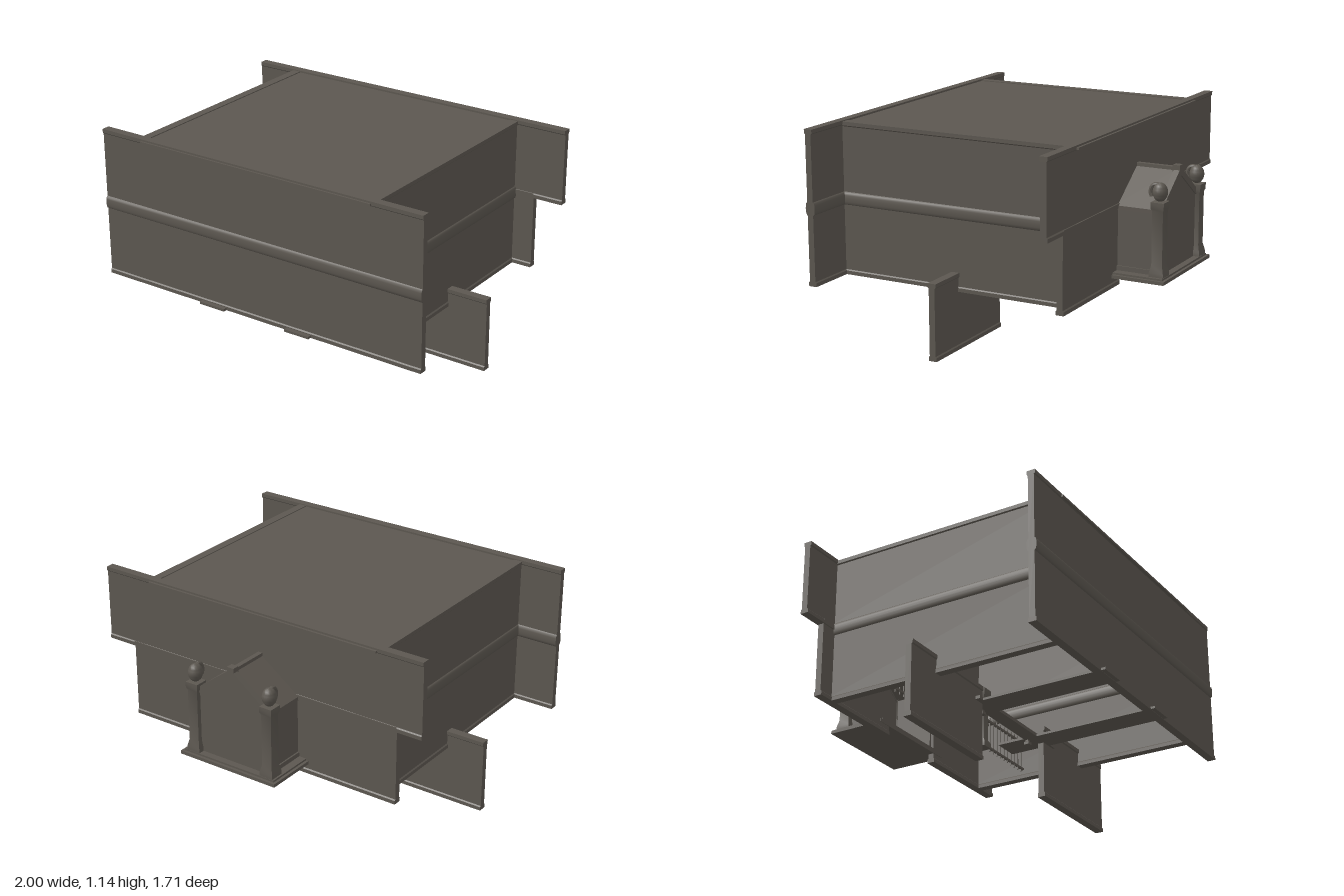
import * as THREE from 'three';
import { toCreasedNormals } from 'three/addons/utils/BufferGeometryUtils.js';

const stone = new THREE.MeshStandardMaterial({ color: 0x5c5750 });
stone.name = 'dark stone';

export function createModel() {
  const root = new THREE.Group();

  function add(name, geo, x = 0, y = 0, z = 0, parent = root) {
    const mesh = new THREE.Mesh(toCreasedNormals(geo, 0.6), stone);
    mesh.name = name;
    mesh.position.set(x, y, z);
    parent.add(mesh);
    return mesh;
  }
  // Box given by its limits on each axis
  function box(name, x0, x1, y0, y1, z0, z1, parent) {
    return add(name, new THREE.BoxGeometry(x1 - x0, y1 - y0, z1 - z0),
      (x0 + x1) / 2, (y0 + y1) / 2, (z0 + z1) / 2, parent);
  }
  // Moulded wall: cross-section with skirting, cornice and optional rounded band
  function wall(name, along, a0, a1, at, y0, y1, band) {
    const c = 0.017, f = 0.023, h = 0.026;
    const side = [[f, y0], [f, y0 + h - 0.006], [c, y0 + h]];
    if (band) {
      side.push([c, 0.69]);
      for (let i = 0; i <= 6; i++) {
        const t = (i / 6 - 0.5) * Math.PI;
        side.push([c + 0.003 + 0.008 * Math.cos(t), 0.725 + 0.033 * Math.sin(t)]);
      }
      side.push([c, 0.76]);
    }
    side.push([c, y1 - h], [f, y1 - h + 0.006], [f, y1]);
    const pts = side.concat(side.map(([t, y]) => [-t, y]).reverse());
    const shape = new THREE.Shape(pts.map(([t, y]) => new THREE.Vector2(t, y)));
    const geo = new THREE.ExtrudeGeometry(shape, { depth: a1 - a0, bevelEnabled: false });
    geo.translate(0, 0, a0);
    if (along === 'x') geo.rotateY(Math.PI / 2);
    return along === 'x' ? add(name, geo, 0, 0, at) : add(name, geo, at, 0, 0);
  }
  // Square post from a (half width, height) profile
  function post(name, profile, x, z, parent) {
    const geo = new THREE.LatheGeometry(
      profile.map(([r, y]) => new THREE.Vector2(r * Math.SQRT2, y)), 4);
    geo.rotateY(Math.PI / 4);
    return add(name, geo, x, 0, z, parent);
  }

  // Main hall
  wall('frontWall', 'x', -1, 0.993, 0.806, 0.31, 1.14, true);
  wall('upperBackWall', 'x', -1, 1, -0.55, 0.72, 1.14, false);
  wall('lowerBackWallRight', 'x', -0.855, -0.24, -0.55, 0.31, 0.745, false);
  wall('lowerBackWallLeft', 'x', 0.2, 0.83, -0.55, 0.31, 0.745, false);
  wall('rightSideWall', 'z', -0.55, 0.8, -0.742, 0.31, 1.135, true);
  wall('leftSideWall', 'z', -0.55, 0.8, 0.694, 0.31, 1.135, true);
  box('roof', -0.735, 0.7, 1.118, 1.13, -0.585, 0.838);

  // Lower partition walls
  wall('rightPartition', 'x', -0.98, -0.32, 0.095, 0, 0.41, false);
  wall('leftPartition', 'x', 0.285, 0.945, 0.113, 0, 0.41, false);

  // Walkway strips inside the open base
  box('rightWalkway', -0.36, -0.2, 0.312, 0.325, -0.1, 0.853);
  box('leftWalkway', 0.19, 0.34, 0.312, 0.325, -0.1, 0.853);
  box('crossWalkway', -0.39, 0.39, 0.312, 0.33, 0.06, 0.14);

  // Inner posts and railings, one set each side
  for (const s of [-1, 1]) {
    const px = -0.02 + s * 0.235;
    post('hangingPost', [[0, 0.285], [0.015, 0.285], [0.015, 0.3], [0.009, 0.305],
      [0.009, 0.335], [0, 0.335]], px, 0.07);
    post('innerPost', [[0, 0.33], [0.035, 0.33], [0.035, 0.36], [0.022, 0.38],
      [0.022, 0.62], [0.035, 0.65], [0.035, 0.68], [0, 0.68]], px, -0.22);
    const rail = new THREE.Group();
    rail.name = 'railing';
    root.add(rail);
    const mid = -0.02 + s * 0.465;
    for (const y of [0.36, 0.52]) box('railBar', mid - 0.23, mid + 0.23, y, y + 0.012, -0.236, -0.224, rail);
    for (let i = 0; i < 12; i++) {
      const x = mid - 0.21 + i * 0.038;
      box('railSpindle', x - 0.003, x + 0.003, 0.345, 0.55, -0.233, -0.227, rail);
    }
  }

  // Rear alcove
  const alcove = new THREE.Group();
  alcove.name = 'alcove';
  root.add(alcove);
  const cx = -0.02;
  box('alcoveFloor', -0.32, 0.285, 0.362, 0.38, -0.86, -0.53, alcove);
  box('alcoveFloorStep', -0.305, 0.27, 0.378, 0.39, -0.845, -0.53, alcove);
  const gable = new THREE.Shape();
  gable.moveTo(-0.23, 0.385);
  gable.lineTo(0.23, 0.385);
  gable.lineTo(0.23, 0.73);
  gable.lineTo(0, 0.895);
  gable.lineTo(-0.23, 0.73);
  add('gableWall', new THREE.ExtrudeGeometry(gable, { depth: 0.025, bevelEnabled: false }),
    cx, 0, -0.808, alcove);
  for (const s of [-1, 1]) {
    const x = cx + s * 0.235;
    box('alcoveSideWall', cx + s * 0.22 - 0.014, cx + s * 0.22 + 0.014, 0.385, 0.735, -0.8, -0.55, alcove);
    box('alcoveSkirting', cx + s * 0.222 - 0.02, cx + s * 0.222 + 0.02, 0.385, 0.415, -0.8, -0.55, alcove);

    // Pitched roof slab and its raised gable rib
    const slope = new THREE.Shape();
    slope.moveTo(0, 0.885);
    slope.lineTo(s * 0.24, 0.715);
    slope.lineTo(s * 0.24, 0.735);
    slope.lineTo(0, 0.908);
    add('alcoveRoof', new THREE.ExtrudeGeometry(slope, { depth: 0.25, bevelEnabled: false }),
      cx, 0, -0.8, alcove);
    const rib = new THREE.Shape();
    rib.moveTo(0, 0.875);
    rib.lineTo(s * 0.23, 0.71);
    rib.lineTo(s * 0.23, 0.745);
    rib.lineTo(0, 0.918);
    add('gableRib', new THREE.ExtrudeGeometry(rib, { depth: 0.034, bevelEnabled: false }),
      cx, 0, -0.815, alcove);

    // Corner pillar with a curled ornament
    post('alcovePillar', [[0, 0.385], [0.04, 0.385], [0.04, 0.41], [0.03, 0.45], [0.03, 0.735],
      [0.037, 0.75], [0.037, 0.782], [0, 0.785]], x, -0.803, alcove);
    const head = add('curlHead', new THREE.SphereGeometry(0.04, 16, 12), x, 0.832, -0.803, alcove);
    head.scale.set(0.95, 1.25, 1);
    const hook = new THREE.CatmullRomCurve3([[0.835, -0.825], [0.87, -0.79], [0.862, -0.762],
      [0.83, -0.75], [0.805, -0.757]].map(([y, z]) => new THREE.Vector3(0, y, z)));
    add('curlHook', new THREE.TubeGeometry(hook, 14, 0.012, 8), x, 0, 0, alcove);
  }
  box('ridgeBeam', cx - 0.013, cx + 0.013, 0.885, 0.917, -0.8, -0.55, alcove);
  box('ridgeFinial', cx - 0.021, cx + 0.021, 0.87, 0.928, -0.815, -0.775, alcove);

  return root;
}
